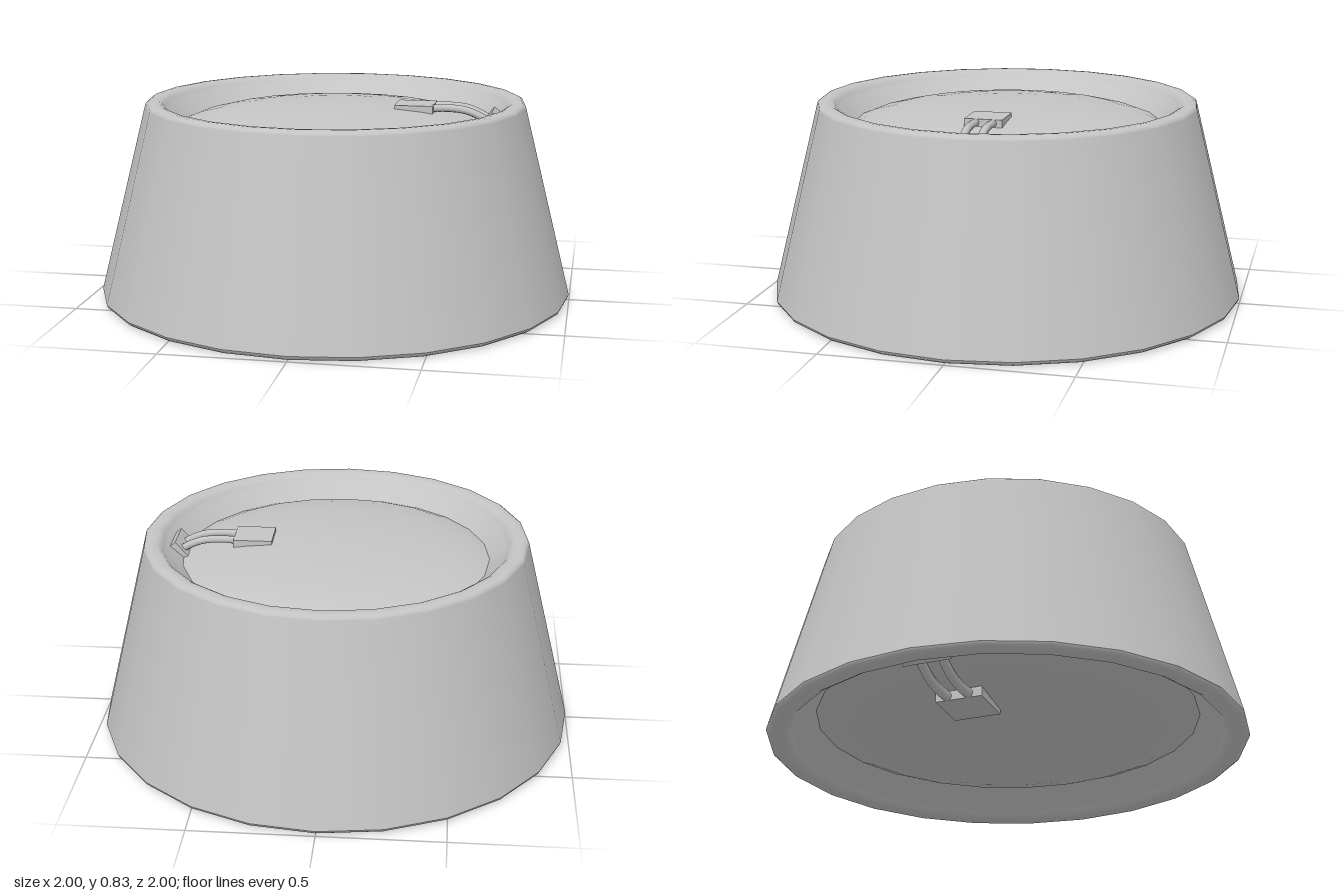
import * as THREE from 'three';

const SIDES = 24, TOP = 0.83, GROW = 1.25;

export function createModel() {
  const grey = new THREE.MeshStandardMaterial({ color: 0xc4c4c4 });
  grey.name = 'light grey';

  const add = (parent, name, geometry) => {
    const mesh = new THREE.Mesh(geometry, grey);
    mesh.name = name;
    parent.add(mesh);
    return mesh;
  };
  const lathe = (points) =>
    new THREE.LatheGeometry(points.map(([r, y]) => new THREE.Vector2(r, y)), SIDES);

  // One end of the drum: rounded rim, sunken domed skin and wired sensor
  function makeEnd(name) {
    const end = new THREE.Group();
    end.name = name;

    add(end, 'rim', lathe([
      [0.799, 0.813], [0.796, 0.821], [0.786, 0.828], [0.765, 0.83], [0.742, 0.828],
      [0.728, 0.82], [0.718, 0.808], [0.71, 0.798], [0.64, 0.735], [0.63, 0.726],
    ]));
    add(end, 'domedSkin', lathe([
      [0.64, 0.735], [0.59, 0.755], [0.5, 0.777], [0.38, 0.794],
      [0.25, 0.806], [0.12, 0.812], [0, 0.814],
    ]));

    const sensor = new THREE.Group();
    sensor.name = 'sensor';
    end.add(sensor);
    const pad = add(sensor, 'sensorPad', new THREE.BoxGeometry(0.16, 0.04, 0.155));
    pad.position.set(0.34, 0.799, -0.004);

    // Block clipped to the sloping inner wall
    const block = add(sensor, 'wallBlock', new THREE.BoxGeometry(0.09, 0.03, 0.155));
    block.position.set(0.645, 0.758, -0.004);
    block.rotation.z = 0.85;

    for (const z of [-0.043, 0.028]) {
      const path = new THREE.CatmullRomCurve3([
        new THREE.Vector3(0.4, 0.803, z), new THREE.Vector3(0.47, 0.807, z),
        new THREE.Vector3(0.55, 0.8, z), new THREE.Vector3(0.6, 0.782, z),
        new THREE.Vector3(0.635, 0.763, z),
      ]);
      add(sensor, 'wire', new THREE.TubeGeometry(path, 14, 0.016, 8));
    }
    return end;
  }

  const model = new THREE.Group();
  model.name = 'taperedDrum';

  // Sloping outer wall
  add(model, 'shell', lathe([[0.999, 0.021], [0.799, 0.813]]));

  // The wide lower end is the upper one turned over and enlarged
  model.add(makeEnd('upperEnd'));
  const lower = makeEnd('lowerEnd');
  lower.rotation.z = Math.PI;
  lower.scale.setScalar(GROW);
  lower.position.y = TOP * GROW;
  model.add(lower);
  return model;
}
